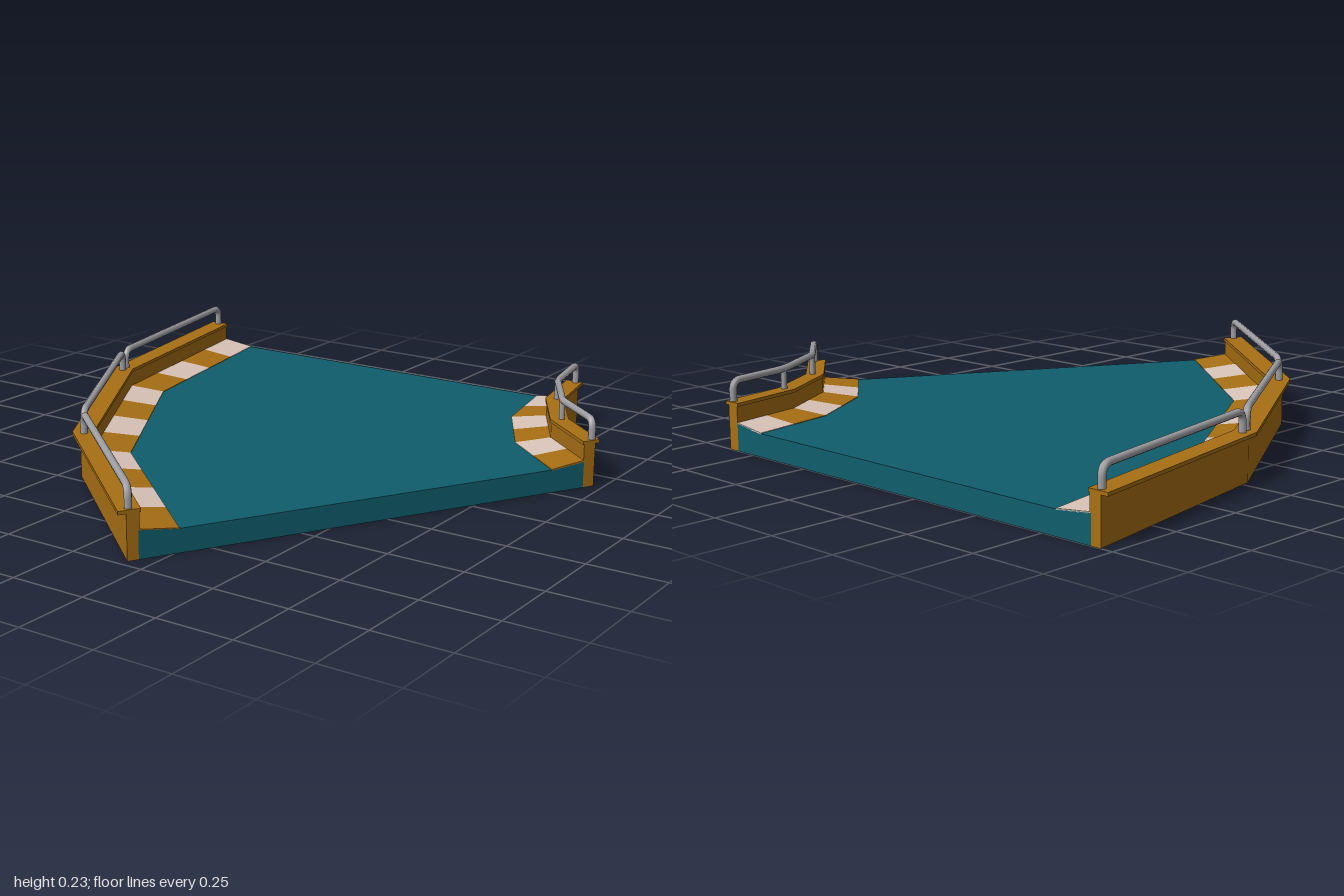
import * as THREE from 'three';

const CX = 1.32, CZ = -1, STEP = Math.PI / 9, SEGMENTS = 3;

const paint = (color) => new THREE.MeshStandardMaterial({ color, flatShading: true });
const orange = paint(0xa86f14), cream = paint(0xdac4b8), teal = paint(0x0f5d6c);
const steel = new THREE.MeshStandardMaterial({ color: 0xa0a0a4 });

// Point on the faceted bend: radius, height, and t counted in 20 degree segments
function corner(r, y, k) {
  return new THREE.Vector3(CX - r * Math.cos(k * STEP), y, CZ + r * Math.sin(k * STEP));
}
function at(r, y, t) {
  const k = Math.min(Math.floor(t), SEGMENTS - 1);
  return corner(r, y, k).lerp(corner(r, y, k + 1), t - k);
}

// Sweeps a closed counter-clockwise (radius, height) profile through the stations
function sweep(profile, stations) {
  const pos = [];
  const tri = (a, b, c) => pos.push(...a.toArray(), ...b.toArray(), ...c.toArray());
  const rings = stations.map((t) => profile.map(([r, y]) => at(r, y, t)));
  const n = profile.length;
  for (let s = 0; s < rings.length - 1; s++) {
    for (let i = 0; i < n; i++) {
      const j = (i + 1) % n, p = rings[s], q = rings[s + 1];
      tri(p[i], q[i], q[j]);
      tri(p[i], q[j], p[j]);
    }
  }
  const first = rings[0], last = rings[rings.length - 1];
  const flat = profile.map(([r, y]) => new THREE.Vector2(r, y));
  for (const [a, b, c] of THREE.ShapeUtils.triangulateShape(flat, [])) {
    tri(first[a], first[b], first[c]);
    tri(last[a], last[c], last[b]);
  }
  const geo = new THREE.BufferGeometry();
  geo.setAttribute('position', new THREE.Float32BufferAttribute(pos, 3));
  geo.computeVertexNormals();
  return geo;
}

const box = (r0, r1, y0, y1) => [[r0, y0], [r1, y0], [r1, y1], [r0, y1]];

// Straight tube path whose inner corners are rounded
function railGeometry(points, bend) {
  const path = new THREE.CurvePath();
  let from = points[0];
  for (let i = 1; i < points.length - 1; i++) {
    const p = points[i];
    const a = p.clone().add(points[i - 1].clone().sub(p).setLength(bend));
    const b = p.clone().add(points[i + 1].clone().sub(p).setLength(bend));
    path.add(new THREE.LineCurve3(from, a));
    path.add(new THREE.QuadraticBezierCurve3(a, p, b));
    from = b;
  }
  path.add(new THREE.LineCurve3(from, points[points.length - 1]));
  return new THREE.TubeGeometry(path, 120, 0.012, 8, false);
}

export function createModel() {
  const model = new THREE.Group();
  const add = (name, geo, mat) => {
    const mesh = new THREE.Mesh(geo, mat);
    mesh.name = name;
    model.add(mesh);
    return mesh;
  };
  const all = [0, 1, 2, 3];

  // Road slab, lifting slightly towards both walls
  add('road', sweep([[0.74, 0], [2.245, 0], [2.245, 0.088], [2.12, 0.075],
    [0.86, 0.075], [0.74, 0.088]], all), teal);

  // Walls with overhanging caps
  add('outerWall', sweep(box(2.24, 2.28, 0, 0.144), all), orange);
  add('outerWallCap', sweep(box(2.235, 2.305, 0.142, 0.153), all), orange);
  add('innerWall', sweep(box(0.7, 0.742, 0, 0.144), all), orange);
  add('innerWallCap', sweep(box(0.685, 0.746, 0.142, 0.153), all), orange);

  // Striped curbs laid on the sloping road edges
  const curbs = [
    ['outerCurbStripe', 4, [[2.12, 0.073], [2.242, 0.085], [2.242, 0.091], [2.12, 0.077]]],
    ['innerCurbStripe', 2, [[0.741, 0.085], [0.86, 0.073], [0.86, 0.077], [0.741, 0.091]]],
  ];
  for (const [name, perSegment, profile] of curbs) {
    for (let i = 0; i < SEGMENTS * perSegment; i++) {
      const t = [i / perSegment, (i + 1) / perSegment];
      add(name, sweep(profile, t), i % 2 ? orange : cream);
    }
  }

  // Outer rails: one hoop per straight section
  const foot = 0.15, top = 0.217;
  for (let k = 0; k < SEGMENTS; k++) {
    const a = k + 0.024, b = k + 0.976, r = 2.27;
    add('outerRail', railGeometry([at(r, foot, a), at(r, top, a), at(r, top, b), at(r, foot, b)], 0.035), steel);
  }

  // Inner rail: one continuous hoop with posts at the bends
  const r = 0.708, s = 0.06, e = 2.94;
  add('innerRail', railGeometry([at(r, foot, s), at(r, top, s), at(r, top, 1), at(r, top, 2),
    at(r, top, e), at(r, foot, e)], 0.03), steel);
  for (const k of [1, 2]) {
    const post = add('innerRailPost', new THREE.CylinderGeometry(0.01, 0.01, top - foot, 8), steel);
    post.position.copy(at(r, (top + foot) / 2, k));
  }
  return model;
}
